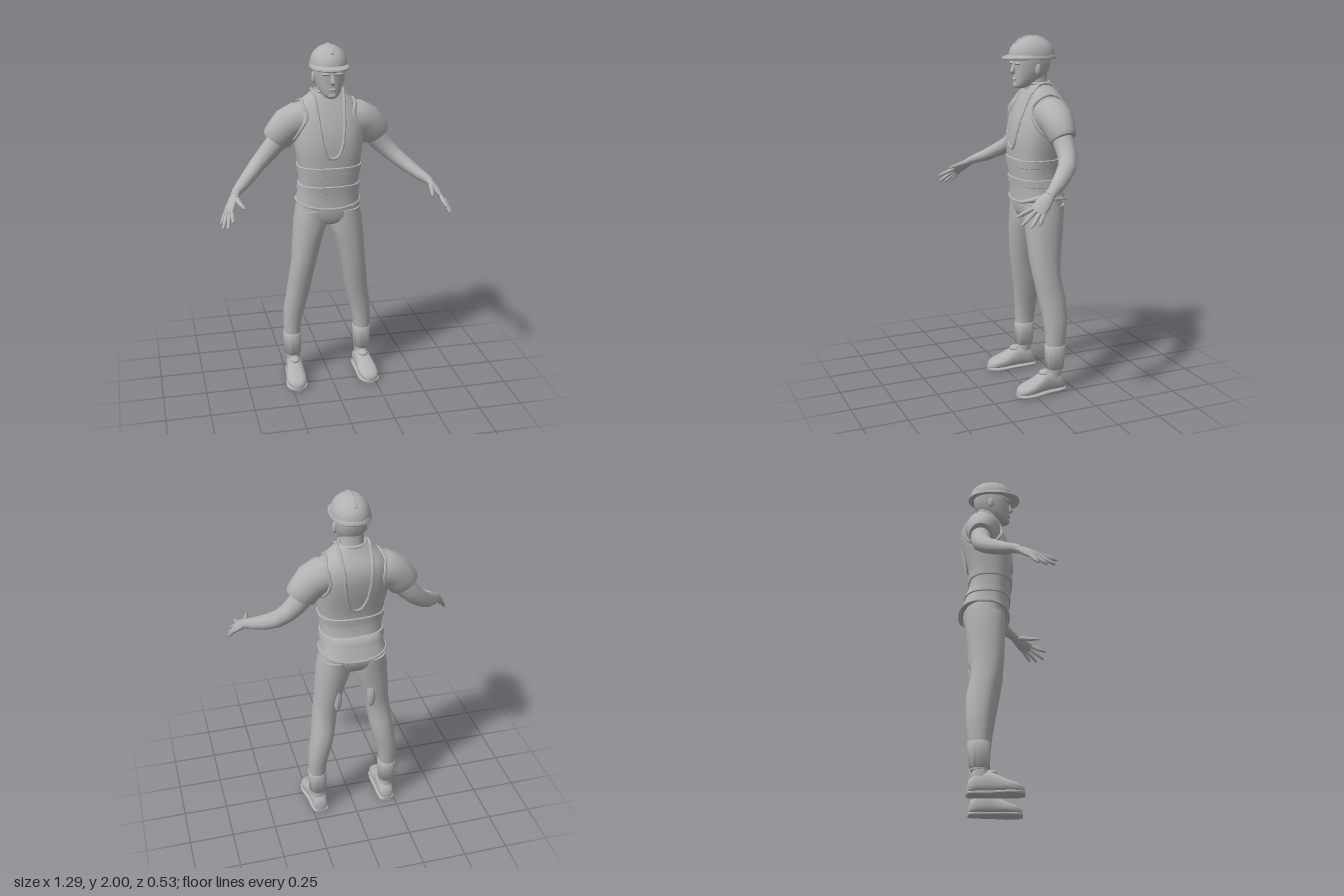
import * as THREE from 'three';
import { toCreasedNormals } from 'three/addons/utils/BufferGeometryUtils.js';

const V = (x, y, z) => new THREE.Vector3(x, y, z);
const X = V(1, 0, 0), Y = V(0, 1, 0), Z = V(0, 0, 1);
const N = 32;

// Superellipse ring around c, spanned by u and v
function ring(c, u, v, a, b, p = 2) {
  return Array.from({ length: N }, (_, i) => {
    const t = (i / N) * Math.PI * 2, f = (s) => Math.sign(s) * Math.abs(s) ** (2 / p);
    return c.clone().addScaledVector(u, a * f(Math.cos(t))).addScaledVector(v, b * f(Math.sin(t)));
  });
}

// Skin over rings, closed at both ends
function loft(rings) {
  const pos = [], idx = [];
  rings.forEach((r) => r.forEach((q) => pos.push(q.x, q.y, q.z)));
  for (let i = 0; i < rings.length - 1; i++) {
    for (let j = 0; j < N; j++) {
      const a = i * N + j, b = i * N + ((j + 1) % N);
      idx.push(a, b, a + N, b, b + N, a + N);
    }
  }
  [0, rings.length - 1].forEach((k) => {
    const c = rings[k].reduce((s, q) => s.add(q), V(0, 0, 0)).divideScalar(N);
    const m = pos.length / 3;
    pos.push(c.x, c.y, c.z);
    for (let j = 0; j < N; j++) {
      const a = k * N + j, b = k * N + ((j + 1) % N);
      if (k) idx.push(a, b, m); else idx.push(b, a, m);
    }
  });
  const g = new THREE.BufferGeometry();
  g.setAttribute('position', new THREE.Float32BufferAttribute(pos, 3));
  g.setIndex(idx);
  return g;
}

// Horizontal section: height, centre x, half width, front z, back z
const section = ([y, cx, w, zf, zb], p = 2.2, grow = 0) =>
  ring(V(cx, y, (zf + zb) / 2), Z, X, (zf - zb) / 2 + grow, w + grow, p);
const column = (rows, p) => loft(rows.map((r) => section(r, p)));

// Limb along points [x, y, z, radiusAlongRef, otherRadius]
function limb(pts, ref = Z) {
  const c = pts.map((q) => V(q[0], q[1], q[2]));
  return loft(pts.map((q, i) => {
    const d = c[Math.min(i + 1, c.length - 1)].clone().sub(c[Math.max(i - 1, 0)]).normalize();
    const u = ref.clone().addScaledVector(d, -ref.dot(d)).normalize();
    return ring(c[i], u, d.clone().cross(u), q[3], q[4] ?? q[3]);
  }));
}

const ball = (x, y, z, a, b, c) => new THREE.SphereGeometry(1, 20, 14).scale(a, b, c).translate(x, y, z);
const cord = (pts, r, closed = false) =>
  new THREE.TubeGeometry(new THREE.CatmullRomCurve3(pts, closed), 72, r, 8, closed);

function mirrored(geo) {
  const g = geo.clone().scale(-1, 1, 1), a = g.index.array;
  for (let i = 0; i < a.length; i += 3) [a[i], a[i + 1]] = [a[i + 1], a[i]];
  return g;
}

// Torso sections, bottom to top: y, half width, front z, back z
const TORSO = [
  [1.1, 0.182, 0.02, -0.26], [1.15, 0.174, 0.018, -0.24], [1.22, 0.168, 0.025, -0.215],
  [1.3, 0.172, 0.033, -0.203], [1.38, 0.182, 0.037, -0.214], [1.46, 0.195, 0.036, -0.235],
  [1.55, 0.197, 0.017, -0.253], [1.61, 0.188, -0.006, -0.255], [1.66, 0.172, -0.026, -0.24],
  [1.69, 0.14, -0.04, -0.217], [1.72, 0.102, -0.052, -0.2], [1.745, 0.078, -0.062, -0.187]];
const TP = 2.6;
function torsoAt(y) {
  let i = 0;
  while (i < TORSO.length - 2 && TORSO[i + 1][0] < y) i++;
  const t = THREE.MathUtils.clamp((y - TORSO[i][0]) / (TORSO[i + 1][0] - TORSO[i][0]), 0, 1);
  const [, w, zf, zb] = TORSO[i].map((v, k) => THREE.MathUtils.lerp(v, TORSO[i + 1][k], t));
  return [y, 0, w, zf, zb];
}
const bulge = (s) => (1 - Math.min(1, Math.abs(s)) ** TP) ** (1 / TP);
function torsoZ(x, y, side) {
  const [, , w, zf, zb] = torsoAt(y);
  return (zf + zb) / 2 + (side * (zf - zb) / 2) * bulge(x / w);
}
function torsoX(y, z) {
  const [, , w, zf, zb] = torsoAt(y);
  return w * bulge((z - (zf + zb) / 2) / ((zf - zb) / 2));
}

export function createModel() {
  const model = new THREE.Group();
  const grey = new THREE.MeshStandardMaterial({ color: 0xb2b2b2 });
  grey.name = 'plainGrey';
  const add = (name, geo) => {
    const m = new THREE.Mesh(toCreasedNormals(geo, 0.9), grey);
    m.name = name;
    model.add(m);
  };
  const pair = (name, geo) => {
    add(name + 'Left', geo);
    add(name + 'Right', mirrored(geo));
  };

  // Vest with a hem that dips at the centre
  const body = TORSO.map((r) => section(torsoAt(r[0]), TP));
  body[0].forEach((q) => { q.y += 0.025 * (q.x / 0.18) ** 2 - 0.01; });
  add('vest', loft(body));
  add('vestHem', cord(body[0], 0.007, true));
  [[1.18, 1.225], [1.285, 1.335]].forEach(([a, b]) => add('vestBand', loft(
    [[a, -0.002], [a + 0.004, 0.007], [b - 0.004, 0.007], [b, -0.002]].map(([y, g]) => section(torsoAt(y), TP, g)))));

  // U-shaped neckline piping, front and back
  for (const side of [1, -1]) {
    const half = [[0.082, 1.735], [0.08, 1.69], [0.074, 1.62], [0.066, 1.53], [0.052, 1.45], [0.028, 1.4]];
    const path = [...half, [0, 1.387], ...half.map(([x, y]) => [-x, y]).reverse()];
    add(side > 0 ? 'necklineFront' : 'necklineBack',
      cord(path.map(([x, y]) => V(x, y, torsoZ(x, y, side))), 0.009));
  }
  pair('shoulderPiping', cord([V(0.084, 1.735, -0.085), V(0.086, 1.745, -0.125), V(0.084, 1.735, -0.165)], 0.009));
  // Armhole piping
  pair('armholePiping', cord(Array.from({ length: 24 }, (_, i) => {
    const t = (i / 24) * Math.PI * 2, y = 1.575 + 0.112 * Math.sin(t), z = -0.125 + 0.103 * Math.cos(t);
    return V(torsoX(y, z) + 0.002, y, z);
  }), 0.009, true));

  // Sleeves and arms
  pair('sleeve', limb([[0.1, 1.585, -0.13, 0.09, 0.085], [0.17, 1.578, -0.13, 0.1, 0.098], [0.22, 1.552, -0.132, 0.094, 0.096],
    [0.255, 1.512, -0.135, 0.082, 0.09], [0.282, 1.478, -0.137, 0.073, 0.086], [0.29, 1.466, -0.138, 0.066, 0.076]]));
  pair('arm', limb([[0.25, 1.5, -0.138, 0.058, 0.064], [0.3, 1.435, -0.14, 0.056, 0.057], [0.35, 1.383, -0.133, 0.052, 0.05],
    [0.4, 1.338, -0.108, 0.049, 0.044], [0.45, 1.298, -0.057, 0.045, 0.039], [0.5, 1.262, 0, 0.037, 0.033],
    [0.535, 1.242, 0.042, 0.029, 0.026], [0.555, 1.225, 0.075, 0.029, 0.021]]));

  // Hands with spread fingers
  const spread = V(0.455, -0.33, -0.83);
  const knuckle = V(0.595, 1.165, 0.15);
  pair('palm', limb([[0.54, 1.239, 0.05, 0.026, 0.022], [0.56, 1.216, 0.085, 0.034, 0.019],
    [0.58, 1.188, 0.12, 0.042, 0.018], [0.597, 1.163, 0.153, 0.041, 0.014], [0.6, 1.158, 0.16, 0.034, 0.008]], spread));
  [[0.585, 1.143, 0.263], [0.612, 1.103, 0.25], [0.634, 1.092, 0.208], [0.64, 1.1, 0.165]].forEach((tip, i) => {
    const a = knuckle.clone().addScaledVector(spread, -0.032 + 0.0213 * i), b = V(...tip);
    const at = (t, r) => [...a.clone().lerp(b, t).toArray(), r];
    pair('finger', limb([at(-0.15, 0.01), at(0.3, 0.0115), at(0.6, 0.0105), at(0.92, 0.008), at(1, 0.003)]));
  });
  pair('thumb', limb([[0.553, 1.222, 0.075, 0.016], [0.541, 1.215, 0.125, 0.015], [0.53, 1.207, 0.17, 0.011],
    [0.519, 1.202, 0.21, 0.008], [0.516, 1.2, 0.218, 0.003]], Y));

  // Trousers
  add('hips', column([[0.975, 0, 0.07, -0.05, -0.16], [0.995, 0, 0.15, -0.015, -0.205], [1.03, 0, 0.19, 0, -0.228],
    [1.08, 0, 0.182, 0.003, -0.24], [1.14, 0, 0.165, 0, -0.22]], 2.4));
  pair('trouserLeg', column([[0.13, 0.212, 0.043, -0.087, -0.18], [0.28, 0.213, 0.049, -0.083, -0.194],
    [0.36, 0.211, 0.053, -0.078, -0.204], [0.44, 0.198, 0.062, -0.07, -0.211], [0.545, 0.176, 0.066, -0.052, -0.21],
    [0.61, 0.167, 0.068, -0.04, -0.198], [0.68, 0.157, 0.069, -0.027, -0.186], [0.76, 0.143, 0.073, -0.014, -0.193],
    [0.9, 0.12, 0.086, -0.003, -0.213], [1.0, 0.099, 0.099, 0, -0.226], [1.07, 0.095, 0.088, 0, -0.235]]));
  pair('trouserCuff', column([[0.14, 0.213, 0.043, -0.087, -0.18], [0.145, 0.213, 0.049, -0.081, -0.187],
    [0.275, 0.213, 0.054, -0.077, -0.199], [0.282, 0.213, 0.048, -0.084, -0.193]]));
  pair('thighPatch', ball(0.098, 0.81, -0.178, 0.025, 0.09, 0.03));

  // Shoes: z, centre x, half width, height
  const shoe = [[-0.197, 0.206, 0.022, 0.05], [-0.187, 0.206, 0.038, 0.085], [-0.15, 0.207, 0.045, 0.115],
    [-0.085, 0.209, 0.047, 0.13], [-0.04, 0.213, 0.052, 0.108], [0.01, 0.217, 0.058, 0.082],
    [0.055, 0.219, 0.054, 0.066], [0.082, 0.219, 0.04, 0.052], [0.096, 0.218, 0.02, 0.036]];
  const along = (f) => loft(shoe.map(f));
  pair('shoe', along(([z, x, w, h]) => ring(V(x, h / 2 + 0.005, z), X, Y, w, h / 2 - 0.004, 2.4)));
  pair('shoeSole', along(([z, x, w]) => ring(V(x, 0.01, z * 1.02 + 0.001), X, Y, w + 0.005, 0.01, 4)));
  pair('ankle', column([[0.08, 0.21, 0.04, -0.075, -0.175], [0.13, 0.21, 0.04, -0.085, -0.17], [0.17, 0.211, 0.038, -0.09, -0.17]]));
  pair('shoeTongue', ball(0.21, 0.118, -0.075, 0.03, 0.018, 0.035));

  // Neck, head and face
  add('neck', column([[1.66, 0, 0.08, -0.05, -0.19], [1.73, 0, 0.064, -0.045, -0.172], [1.8, 0, 0.062, -0.03, -0.168]]));
  add('collar', cord(section([1.742, 0, 0.071, -0.05, -0.185]), 0.009, true));
  add('head', column([[1.716, 0, 0.022, 0.008, -0.03], [1.726, 0, 0.038, 0.018, -0.06], [1.745, 0, 0.054, 0.021, -0.11],
    [1.775, 0, 0.069, 0.022, -0.155], [1.815, 0, 0.081, 0.023, -0.18], [1.86, 0, 0.087, 0.027, -0.188],
    [1.9, 0, 0.086, 0.028, -0.188], [1.94, 0, 0.06, 0, -0.16]], 2.3));
  add('nose', limb([[0, 1.855, 0.02, 0.01], [0, 1.83, 0.026, 0.011], [0, 1.808, 0.03, 0.016], [0, 1.796, 0.022, 0.01]], X));
  add('lips', ball(0, 1.767, 0.02, 0.024, 0.009, 0.009));
  add('chin', ball(0, 1.734, 0.008, 0.026, 0.016, 0.018));
  pair('brow', ball(0.034, 1.852, 0.018, 0.027, 0.009, 0.012));
  pair('ear', ball(0.085, 1.818, -0.085, 0.01, 0.032, 0.019));

  // Hard hat with brim and ridge
  const dome = (t, g = 0) => [1.888 + 0.107 * Math.sin(t), 0, (0.1 + g) * Math.cos(t) + 0.001,
    -0.083 + (0.13 + g) * Math.cos(t), -0.083 - (0.13 + g) * Math.cos(t)];
  add('hatDome', column(Array.from({ length: 13 }, (_, i) => dome((i / 12) * Math.PI * 0.497)), 2.15));
  add('hatBrim', column([[1.872, 0, 0.1, 0.082, -0.216], [1.876, 0, 0.106, 0.086, -0.221],
    [1.884, 0, 0.106, 0.085, -0.221], [1.896, 0, 0.098, 0.048, -0.212]], 2.3));
  add('hatRidge', limb(Array.from({ length: 15 }, (_, i) => {
    const t = 0.7 + (i / 14) * (Math.PI - 1.4);
    return [0, 1.888 + 0.107 * Math.sin(t), -0.083 + 0.13 * Math.cos(t), 0.009, 0.006];
  }), X));

  return model;
}
